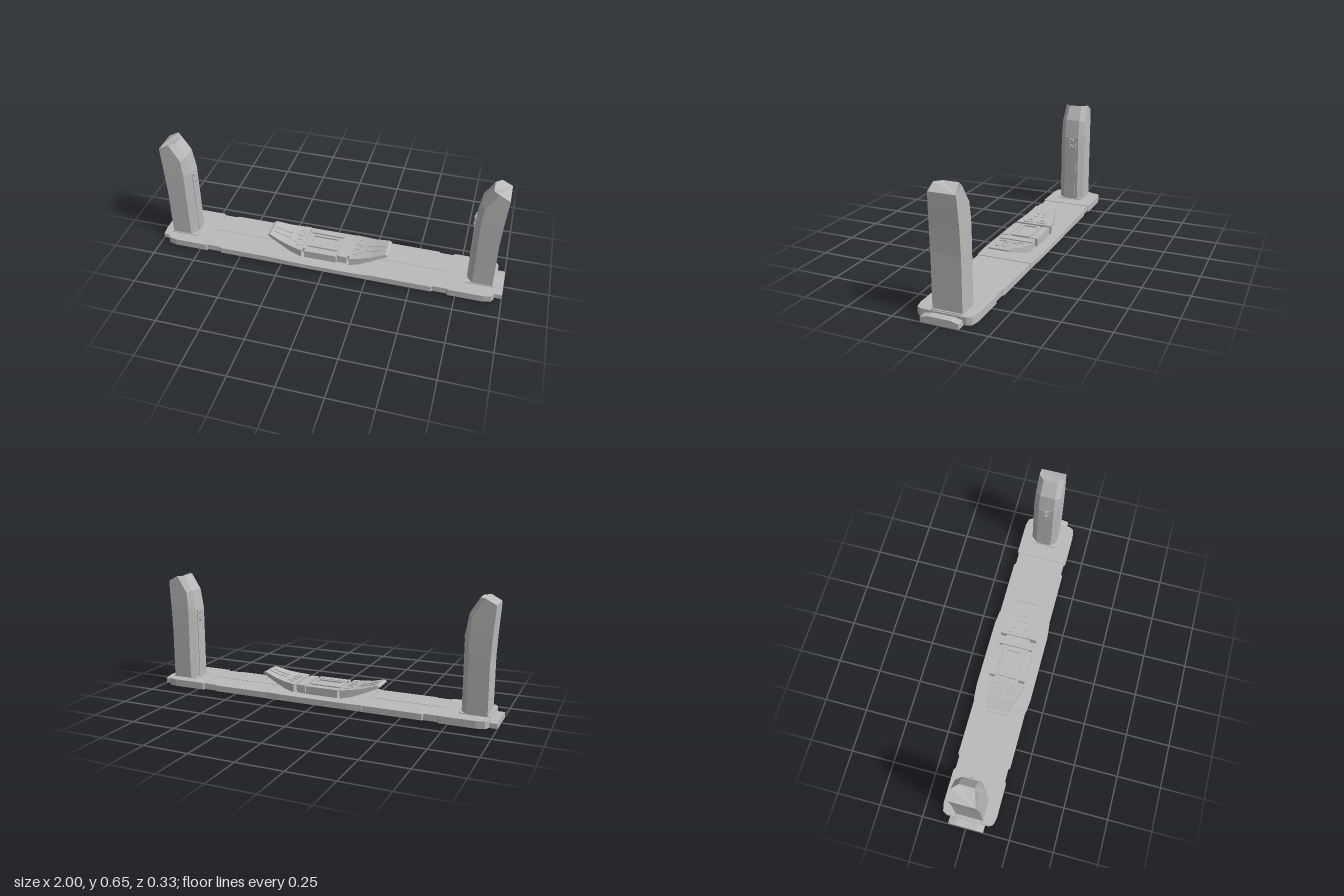
import * as THREE from 'three';

const grey = new THREE.MeshStandardMaterial({ color: 0xbababa });
grey.name = 'plain grey';

function add(parent, geo, name) {
  const mesh = new THREE.Mesh(geo, grey);
  mesh.name = name;
  parent.add(mesh);
  return mesh;
}

function box(parent, name, x0, x1, y0, y1, z0, z1) {
  const m = add(parent, new THREE.BoxGeometry(x1 - x0, y1 - y0, z1 - z0), name);
  m.position.set((x0 + x1) / 2, (y0 + y1) / 2, (z0 + z1) / 2);
  return m;
}

// Faceted loft through rings of points, counter-clockwise as seen from the end
function loft(rings) {
  const pos = [];
  const tri = (...pts) => pts.forEach(p => pos.push(...p));
  const n = rings[0].length;
  for (let r = 0; r < rings.length - 1; r++) {
    for (let i = 0; i < n; i++) {
      const j = (i + 1) % n, lo = rings[r], hi = rings[r + 1];
      tri(lo[i], lo[j], hi[j]);
      tri(lo[i], hi[j], hi[i]);
    }
  }
  const first = rings[0], last = rings[rings.length - 1];
  for (let i = 1; i < n - 1; i++) {
    tri(last[0], last[i], last[i + 1]);
    tri(first[0], first[i + 1], first[i]);
  }
  const g = new THREE.BufferGeometry();
  g.setAttribute('position', new THREE.Float32BufferAttribute(pos, 3));
  g.computeVertexNormals();
  return g;
}

// Flat plate from an outline in (x, z), extruded upward
function plate(parent, name, pts, y0, y1) {
  const shape = new THREE.Shape(pts.map(p => new THREE.Vector2(p[0], -p[1])));
  const g = new THREE.ExtrudeGeometry(shape, { depth: y1 - y0, bevelEnabled: false });
  g.rotateX(-Math.PI / 2);
  g.translate(0, y0, 0);
  return add(parent, g, name);
}

// Half outline (z > 0) mirrored across z
const mirrored = half => [...half, ...half.slice().reverse().map(([x, z]) => [x, -z])];

function makeBase() {
  const base = new THREE.Group();
  base.name = 'base';
  plate(base, 'deck', mirrored([
    [-0.72, 0.144], [-0.625, 0.144], [-0.615, 0.153],
    [0.615, 0.153], [0.625, 0.144], [0.72, 0.144]]), 0.008, 0.043);
  plate(base, 'centrePanel', mirrored([
    [-0.285, 0.156], [-0.2, 0.164], [0.2, 0.164], [0.285, 0.156]]), 0.02, 0.046);
  box(base, 'bellyPlate', -0.77, 0.77, 0.002, 0.01, -0.09, 0.09);
  box(base, 'deckCentreSeam', -0.7, 0.7, 0.04, 0.0445, -0.002, 0.002);
  for (const s of [1, -1]) {
    const end = new THREE.Group();
    end.name = s > 0 ? 'leftEnd' : 'rightEnd';
    plate(end, 'endPlate', mirrored([
      [0.7, 0.146], [0.71, 0.153], [0.9, 0.153], [0.945, 0.143], [0.958, 0.12]]), 0.006, 0.046);
    // end tab with chamfered upper corners
    const tab = [[0, -0.1], [0.027, -0.1], [0.037, -0.06], [0.037, 0.06], [0.027, 0.1], [0, 0.1]];
    add(end, loft([0.79, 1].map(x => tab.map(([y, z]) => [x, y, z]))), 'endTab');
    // foot surrounding the post
    box(end, 'postFoot', 0.79, 0.95, 0.04, 0.05, -0.09, 0.07);
    if (s < 0) end.rotation.y = Math.PI;
    base.add(end);
  }
  return base;
}

function makePost() {
  const post = new THREE.Group();
  // each level: outer, shoulder and inner x, their heights, half widths
  const levels = [
    [0.941, 0.83, 0.8, 0.045, 0.045, 0.045, 0.078, 0.045],
    [0.94, 0.83, 0.8, 0.33, 0.38, 0.38, 0.078, 0.045],
    [0.946, 0.83, 0.8, 0.46, 0.47, 0.46, 0.077, 0.045],
    [0.953, 0.838, 0.817, 0.56, 0.56, 0.57, 0.074, 0.043],
    [0.957, 0.9, 0.868, 0.625, 0.655, 0.655, 0.071, 0.04],
  ];
  add(post, loft(levels.map(([xo, xs, xi, yo, ys, yi, w, k]) => [
    [xo, yo, -w], [xs, ys, -w], [xi, yi, -k], [xi, yi, k], [xs, ys, w], [xo, yo, w]])), 'postBody');
  // inner face strip and its two round sensors
  box(post, 'innerStrip', 0.796, 0.802, 0.045, 0.455, -0.03, 0.03);
  for (const y of [0.4, 0.44]) {
    const ring = add(post, new THREE.TorusGeometry(0.014, 0.004, 6, 16), 'sensorRing');
    ring.rotation.y = Math.PI / 2;
    ring.position.set(0.795, y, 0);
    const lens = add(post, new THREE.CylinderGeometry(0.009, 0.012, 0.008, 12), 'sensorLens');
    lens.rotation.z = Math.PI / 2;
    lens.position.set(0.793, y, 0);
  }
  return post;
}

function makeWing() {
  const wing = new THREE.Group();
  // x, underside, top, half depth
  const stations = [
    [0.14, 0.05, 0.097, 0.108],
    [0.2, 0.062, 0.103, 0.097],
    [0.26, 0.084, 0.113, 0.083],
    [0.338, 0.116, 0.136, 0.064],
    [0.353, 0.125, 0.13, 0.06],
  ];
  add(wing, loft(stations.map(([x, lo, hi, w]) => [
    [x, lo, -w], [x, hi, -w], [x, hi, w], [x, lo, w]])), 'wingPanel');
  // raised key strips follow the slope of the top
  const topAt = x => {
    const i = x < 0.2 ? 0 : x < 0.26 ? 1 : 2;
    const a = stations[i], b = stations[i + 1];
    return a[2] + (b[2] - a[2]) * (x - a[0]) / (b[0] - a[0]);
  };
  const key = (x0, x1, z0, z1) => {
    const h0 = topAt(x0), h1 = topAt(x1);
    add(wing, loft([[x0, h0], [x1, h1]].map(([x, h]) => [
      [x, h - 0.003, z0], [x, h + 0.004, z0], [x, h + 0.004, z1], [x, h - 0.003, z1]])), 'keyStrip');
  };
  for (const s of [1, -1]) {
    const k = (x0, x1, a, b) => key(x0, x1, Math.min(a * s, b * s), Math.max(a * s, b * s));
    k(0.262, 0.325, 0.012, 0.028);
    k(0.225, 0.258, 0.012, 0.028);
    k(0.155, 0.198, 0.012, 0.024);
    k(0.186, 0.198, 0.024, 0.05);
    k(0.155, 0.17, 0.035, 0.07);
    k(0.17, 0.182, 0.058, 0.07);
  }
  // connector to the centre block
  box(wing, 'wingConnector', 0.115, 0.145, 0.055, 0.085, -0.07, 0.07);
  return wing;
}

function makeConsole() {
  const con = new THREE.Group();
  con.name = 'console';
  box(con, 'pedestal', -0.11, 0.11, 0.04, 0.055, -0.09, 0.09);
  box(con, 'centreBlock', -0.123, 0.064, 0.05, 0.088, -0.065, 0.065);
  for (const s of [1, -1]) {
    const z = 0.087 * s;
    box(con, 'blockEdge', -0.123, 0.064, 0.05, 0.095, z - 0.019, z + 0.019);
    // screen frame rails
    box(con, 'frameRail', -0.118, 0.058, 0.086, 0.097, s * 0.047 - 0.008, s * 0.047 + 0.008);
    const x = -0.03 + s * 0.08;
    box(con, 'frameEnd', x - 0.008, x + 0.008, 0.086, 0.097, -0.05, 0.05);
  }
  box(con, 'screen', -0.098, 0.038, 0.086, 0.092, -0.034, 0.034);
  box(con, 'sideStrip', 0.074, 0.123, 0.05, 0.095, -0.097, 0.097);
  box(con, 'stripLink', 0.06, 0.078, 0.055, 0.085, -0.08, 0.08);
  const left = makeWing(), right = makeWing();
  left.name = 'leftWing';
  right.name = 'rightWing';
  right.rotation.y = Math.PI;
  con.add(left, right);
  return con;
}

export function createModel() {
  const model = new THREE.Group();
  model.name = 'gate';
  const left = makePost(), right = makePost();
  left.name = 'leftPost';
  left.position.z = -0.013;
  right.name = 'rightPost';
  right.rotation.y = Math.PI;
  right.position.z = 0.006;
  model.add(makeBase(), left, right, makeConsole());
  return model;
}
